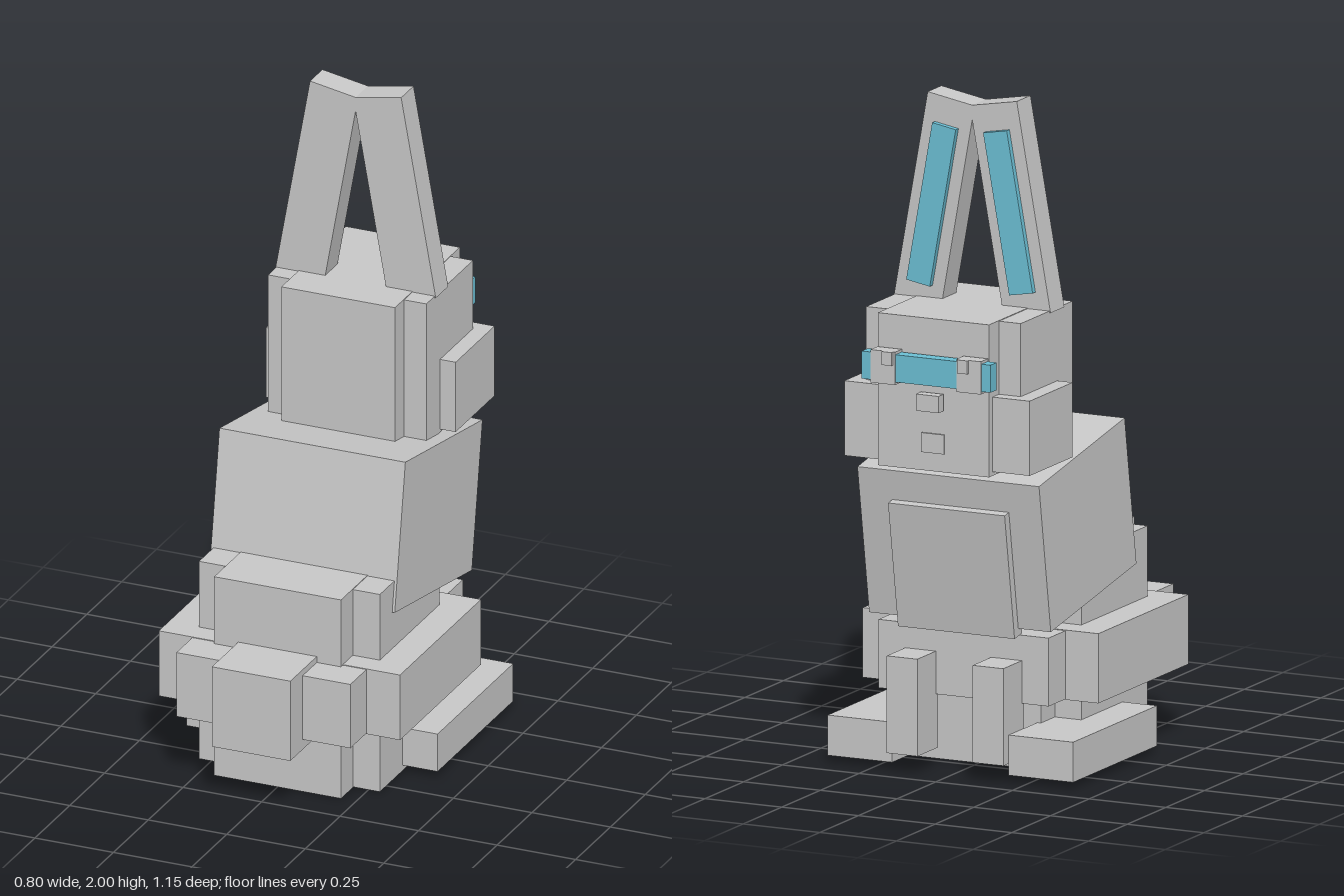
import * as THREE from 'three';

export function createModel() {
  const model = new THREE.Group();
  const fur = new THREE.MeshStandardMaterial({ color: 0xc8c8c8 });
  fur.name = 'grey fur';
  const teal = new THREE.MeshStandardMaterial({ color: 0x6cbfd4 });
  teal.name = 'teal accent';

  // Axis-aligned box given by its minimum and maximum on each axis
  function box(name, x, y, z, material = fur, parent = model) {
    const geometry = new THREE.BoxGeometry(x[1] - x[0], y[1] - y[0], z[1] - z[0]);
    const mesh = new THREE.Mesh(geometry, material);
    mesh.position.set((x[0] + x[1]) / 2, (y[0] + y[1]) / 2, (z[0] + z[1]) / 2);
    mesh.name = name;
    parent.add(mesh);
    return mesh;
  }
  // Box centred on x
  const centred = (name, halfX, y, z, material, parent) =>
    box(name, [-halfX, halfX], y, z, material, parent);
  // Pair of boxes mirrored in x
  function pair(name, x, y, z, material) {
    box(name, x, y, z, material);
    box(name, [-x[1], -x[0]], y, z, material);
  }

  // Hips: crossed boxes make stepped corners
  centred('hipsLong', 0.202, [0, 0.635], [-0.22, 0.385]);
  centred('hipsWide', 0.288, [0.002, 0.633], [-0.13, 0.3]);

  // Haunches around the hips
  centred('haunchesWide', 0.384, [0.215, 0.423], [-0.21, 0.372]);
  centred('haunchesLong', 0.277, [0.217, 0.421], [-0.32, 0.487]);
  centred('tail', 0.125, [0.185, 0.44], [0.35, 0.575]);

  // Limbs
  pair('hindFoot', [0.19, 0.4], [0.02, 0.14], [-0.405, 0.138]);
  pair('frontLeg', [0.09, 0.19], [0.055, 0.345], [-0.44, -0.305]);

  // Leaning torso with a raised chest panel
  const torso = new THREE.Group();
  torso.name = 'torso';
  torso.position.set(0, 0.717, -0.104);
  torso.rotation.x = -0.168;
  centred('torsoBlock', 0.296, [-0.228, 0.228], [-0.281, 0.281], fur, torso);
  centred('chestPanel', 0.19, [-0.25, 0.136], [-0.309, -0.26], fur, torso);
  model.add(torso);

  // Head with stepped corners and cheeks
  centred('headLong', 0.181, [0.93, 1.385], [-0.515, -0.05]);
  centred('headWide', 0.252, [0.932, 1.383], [-0.45, -0.115]);
  centred('cheeks', 0.302, [0.942, 1.165], [-0.492, -0.213]);
  centred('nose', 0.037, [1.115, 1.165], [-0.555, -0.522]);
  centred('mouth', 0.037, [0.985, 1.043], [-0.521, -0.514]);

  // Goggles: a teal bar with two grey frames and small studs
  centred('goggleBar', 0.21, [1.195, 1.277], [-0.562, -0.522], teal);
  pair('goggleFrame', [0.1, 0.18], [1.187, 1.285], [-0.565, -0.52]);
  pair('goggleStud', [0.107, 0.14], [1.245, 1.285], [-0.574, -0.56]);

  // Tall ears that lean together at the tips
  for (const side of [1, -1]) {
    const ear = new THREE.Group();
    ear.name = 'ear';
    ear.position.set(side * 0.124, 1.674, 0);
    ear.rotation.z = side * 0.176;
    centred('earBlock', 0.0775, [-0.315, 0.315], [-0.264, -0.175], fur, ear);
    centred('innerEar', 0.039, [-0.25, 0.234], [-0.282, -0.26], teal, ear);
    model.add(ear);
  }
  return model;
}
